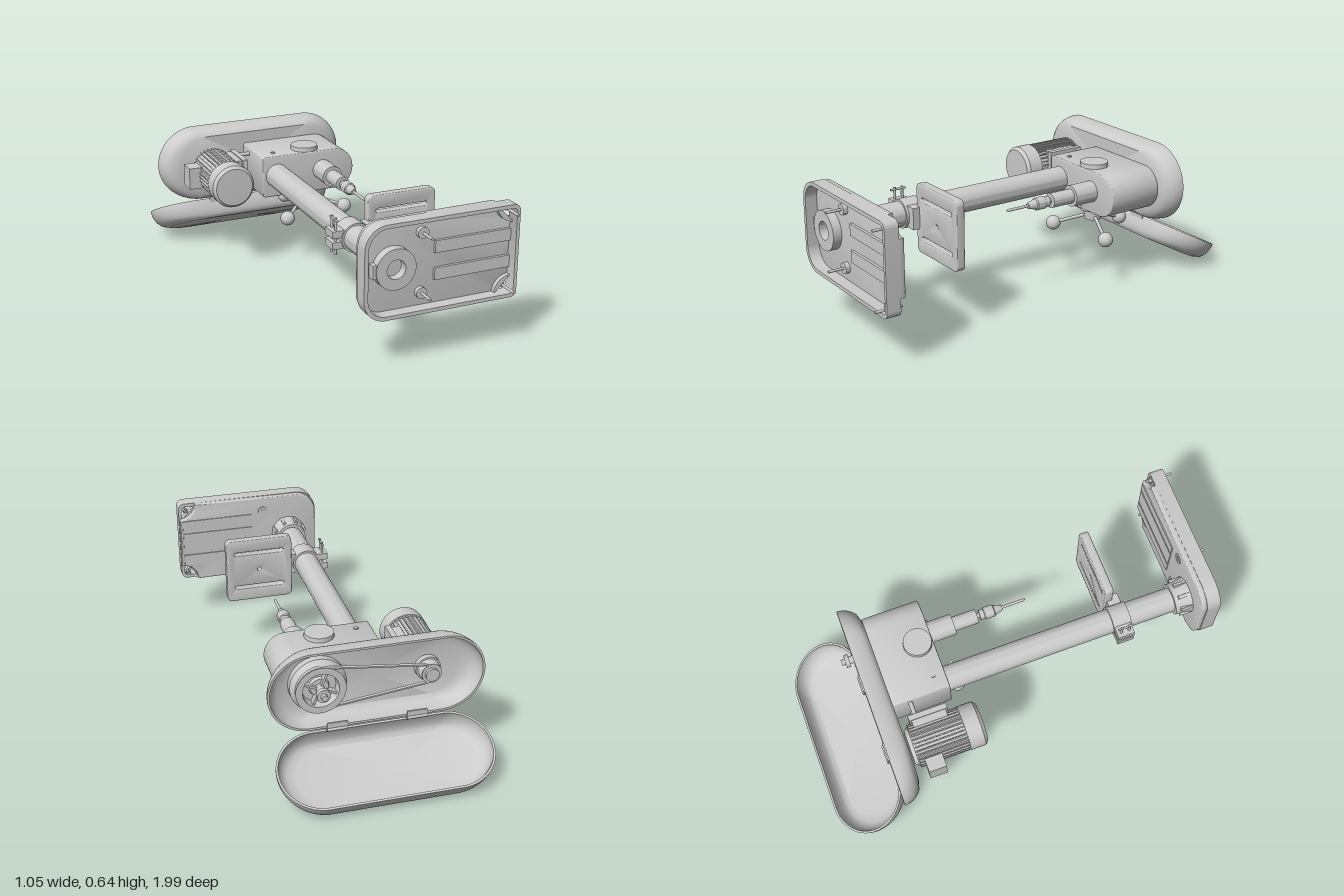
import * as THREE from 'three';
import { toCreasedNormals } from 'three/addons/utils/BufferGeometryUtils.js';

const mat = new THREE.MeshStandardMaterial({ color: 0xcccccc, side: THREE.DoubleSide });
const CY = 0.45; // height of the column and spindle axes

export function createModel() {
  const model = new THREE.Group();
  const add = (name, geo, parent = model) => {
    const m = new THREE.Mesh(geo, mat);
    m.name = name;
    parent.add(m);
    return m;
  };
  const group = (name) => {
    const g = new THREE.Group();
    g.name = name;
    model.add(g);
    return g;
  };
  // Box by its limits
  const box = (name, x0, x1, y0, y1, z0, z1, parent) =>
    add(name, new THREE.BoxGeometry(x1 - x0, y1 - y0, z1 - z0)
      .translate((x0 + x1) / 2, (y0 + y1) / 2, (z0 + z1) / 2), parent);
  // Turned part along z from [radius, z] points, ordered by rising z
  const turned = (name, x, y, pts, parent, seg = 40) =>
    add(name, toCreasedNormals(new THREE.LatheGeometry(pts.map(([r, z]) => new THREE.Vector2(r, z)), seg), 0.6)
      .rotateX(Math.PI / 2).translate(x, y, 0), parent);
  const rod = (name, x, y, r, z0, z1, parent, seg = 24) =>
    turned(name, x, y, [[0, z0], [r, z0], [r, z1], [0, z1]], parent, seg);
  // Turned part standing along y
  const post = (name, x, z, r0, r1, y0, y1, parent, seg = 32) =>
    add(name, new THREE.CylinderGeometry(r1, r0, y1 - y0, seg).translate(x, (y0 + y1) / 2, z), parent);
  const slab = (name, shape, z0, z1, parent, bevel = 0) =>
    add(name, toCreasedNormals(new THREE.ExtrudeGeometry(shape, {
      depth: z1 - z0 - 2 * bevel, curveSegments: 20, bevelEnabled: bevel > 0,
      bevelSize: bevel, bevelThickness: bevel, bevelOffset: -bevel, bevelSegments: 3,
    }), 0.6).translate(0, 0, z0 + bevel), parent);
  // Rectangle with separate left and right corner radii
  const plate = (x0, x1, y0, y1, rl, rr, Kind = THREE.Shape) => {
    const s = new Kind(), h = Math.PI / 2;
    s.absarc(x1 - rr, y0 + rr, rr, -h, 0);
    s.absarc(x1 - rr, y1 - rr, rr, 0, h);
    s.absarc(x0 + rl, y1 - rl, rl, h, 2 * h);
    s.absarc(x0 + rl, y0 + rl, rl, 2 * h, 3 * h);
    s.closePath();
    return s;
  };
  const circleHole = (x, y, r) => new THREE.Path().absarc(x, y, r, 0, Math.PI * 2);

  // Hollow base: rim, floor with cut-away bolt corners, pads and bolts
  const base = group('base');
  const rim = plate(-0.19, 0.52, 0.24, 0.655, 0.1, 0.03);
  rim.holes.push(plate(-0.172, 0.505, 0.257, 0.638, 0.085, 0.018, THREE.Path));
  slab('baseRim', rim, 0.895, 0.96, base);
  const floor = new THREE.Shape();
  floor.absarc(0.518, 0.24, 0.08, Math.PI, Math.PI / 2, true);
  floor.absarc(0.518, 0.655, 0.08, -Math.PI / 2, -Math.PI, true);
  floor.absarc(-0.085, 0.552, 0.1, Math.PI / 2, Math.PI);
  floor.absarc(-0.085, 0.343, 0.1, Math.PI, Math.PI * 1.5);
  floor.closePath();
  slab('baseFloor', floor, 0.87, 0.905, base, 0.006);
  for (const s of [-1, 1]) {
    const y = s > 0 ? 0.645 : 0.25;
    const pad = new THREE.Shape().moveTo(0.51, y);
    const a = s > 0 ? Math.PI : Math.PI / 2;
    pad.absarc(0.51, y, 0.078, a, a + Math.PI / 2);
    slab('cornerPad', pad, 0.895, 0.925, base);
    for (const [x, dy] of [[0.09, 0.132], [0.487, 0.173]]) {
      const by = 0.4475 + s * dy;
      rod('baseBolt', x, by, 0.006, 0.87, 0.997, base, 12);
      rod('boltHead', x, by, 0.013, x > 0.4 ? 0.882 : 0.862, 0.9, base, 6);
      if (x < 0.4) rod('boltBoss', x, by, 0.025, 0.866, 0.925, base);
    }
    // Underside of each slot
    box('slotRib', 0.15, 0.506, 0.4475 + s * 0.06 - 0.027, 0.4475 + s * 0.06 + 0.027, 0.9, 0.918, base);
  }
  // Work surface split by narrow grooves
  for (const [y0, y1] of [[0.325, 0.382], [0.394, 0.501], [0.513, 0.57]])
    box('workSurface', 0.15, 0.505, y0, y1, 0.865, 0.88, base);
  turned('columnSeat', -0.04, CY, [[0.042, 0.9], [0.09, 0.9], [0.09, 0.945], [0.042, 0.945], [0.042, 0.9]], base);
  box('seatKey', -0.143, -0.115, 0.42, 0.48, 0.9, 0.94, base);

  // Column and its flared socket
  turned('column', -0.04, CY, [[0.042, -0.4], [0.058, -0.4], [0.058, 0.94], [0.042, 0.94], [0.042, -0.4]]);
  const socket = group('columnSocket');
  turned('socket', -0.04, CY, [[0.058, 0.79], [0.073, 0.79], [0.075, 0.825], [0.084, 0.872], [0.058, 0.872]], socket);
  for (let i = 0; i < 8; i++) {
    const rib = box('socketRib', 0.06, 0.086, -0.008, 0.008, 0.81, 0.872, socket);
    rib.position.set(-0.04, CY, 0);
    rib.rotation.z = (i + 0.5) * Math.PI / 4;
  }

  // Work table with slots, clamped to the column
  const table = group('table');
  const top = plate(0.035, 0.36, 0.29, 0.61, 0.025, 0.025);
  for (const y of [0.36, 0.54]) top.holes.push(plate(0.075, 0.32, y - 0.009, y + 0.009, 0.008, 0.008, THREE.Path));
  top.holes.push(circleHole(0.198, CY, 0.01));
  slab('tableTop', top, 0.486, 0.527, table, 0.004);
  turned('clampCollar', -0.04, CY, [[0.058, 0.485], [0.067, 0.485], [0.067, 0.572], [0.058, 0.572]], table);
  box('tableArm', 0.01, 0.06, 0.40, 0.50, 0.5, 0.56, table);
  for (const y of [0.425, 0.475]) box('clampEar', -0.148, -0.08, y - 0.016, y + 0.016, 0.487, 0.565, table);
  for (const z of [0.507, 0.545]) post('clampScrew', -0.125, z, 0.006, 0.006, 0.38, 0.545, table, 12);
  rod('clampHandle', -0.125, 0.535, 0.005, 0.49, 0.565, table, 12);

  // Head casting, round at the spindle end
  const head = group('head');
  slab('headBody', plate(-0.113, 0.362, 0.345, 0.547, 0.012, 0.1), -0.585, -0.315, head, 0.005);
  post('topCap', 0.13, -0.385, 0.067, 0.065, 0.54, 0.567, head, 40);
  post('topScrew', -0.04, -0.37, 0.011, 0.011, 0.54, 0.553, head, 6);
  const lock = post('lockLever', 0, 0, 0.006, 0.006, 0, 0.08, head, 12);
  lock.position.set(0.02, 0.375, -0.32);
  lock.rotation.set(Math.PI / 2, 0, -0.5);

  // Quill, chuck and drill bit
  const spindle = group('spindle');
  turned('quill', 0.198, CY, [[0, -0.33], [0.05, -0.33], [0.05, -0.195], [0.034, -0.195], [0.034, -0.08],
    [0.012, -0.08], [0.012, -0.05], [0, -0.05]], spindle);
  turned('chuck', 0.198, CY, [[0, -0.066], [0.024, -0.066], [0.024, -0.045], [0.029, -0.042], [0.029, 0.002],
    [0.024, 0.006], [0.013, 0.045], [0, 0.045]], spindle);
  turned('drillBit', 0.198, CY, [[0, 0.04], [0.0065, 0.04], [0.0065, 0.15], [0, 0.166]], spindle, 12);

  // Feed hub with three ball-ended spokes
  const feed = group('feedHandle');
  post('feedFlange', 0.135, -0.38, 0.06, 0.067, 0.335, 0.36, feed);
  post('feedHub', 0.135, -0.38, 0.04, 0.046, 0.288, 0.34, feed);
  for (let i = 0; i < 3; i++) {
    const a = THREE.MathUtils.degToRad(20 + 120 * i);
    const end = new THREE.Vector3(0.135 + 0.192 * Math.cos(a), 0.246, -0.38 + 0.192 * Math.sin(a));
    const path = new THREE.LineCurve3(new THREE.Vector3(0.135, 0.315, -0.38), end);
    add('spoke', new THREE.TubeGeometry(path, 1, 0.008, 12), feed);
    add('spokeBall', new THREE.SphereGeometry(0.035, 28, 20).translate(end.x, end.y, end.z), feed);
  }

  // Finned motor with junction box and sliding mount
  const motor = group('motor'), MX = -0.29;
  turned('motorBody', MX, CY, [[0, -0.577], [0.075, -0.577], [0.09, -0.56], [0.09, -0.32], [0.103, -0.32],
    [0.103, -0.25], [0.09, -0.235], [0, -0.233]], motor);
  for (let i = 0; i < 32; i++) {
    const fin = box('motorFin', 0.085, 0.101, -0.003, 0.003, -0.555, -0.32, motor);
    fin.position.set(MX, CY, 0);
    fin.rotation.z = i * Math.PI / 16;
  }
  box('junctionBox', -0.44, -0.375, 0.39, 0.495, -0.532, -0.45, motor);
  box('mountPlate', -0.2, -0.175, 0.365, 0.535, -0.54, -0.36, motor);
  for (const y of [0.385, 0.515]) {
    box('mountFoot', -0.235, -0.19, y - 0.015, y + 0.015, -0.53, -0.37, motor);
    add('mountRod', new THREE.CylinderGeometry(0.01, 0.01, 0.11, 16).rotateZ(Math.PI / 2)
      .translate(-0.15, y, -0.505), motor);
  }

  // Oval pan open toward -z, lofted from rings of [depth, inset]
  const pan = () => {
    const N = 72, rings = [], pos = [], idx = [];
    const ring = (z, k, t, s = 1) => {
      for (let i = 0; i <= N; i++) {
        const a = (i / N) * Math.PI * 2 + Math.PI / 2, c = Math.cos(a);
        const flat = (i > 0 && i <= N / 2 ? -1 : 1) * (0.288 - 0.038 * k);
        pos.push(s * (flat + (0.19 - 0.05 * k - t) * c), s * (0.185 - 0.033 * k - t) * Math.sin(a), z);
      }
      rings.push(rings.length);
    };
    const bow = (u) => 1 - Math.sqrt(1 - u * u);
    ring(0.095, 1, 0, 0);
    for (let j = 8; j >= 0; j--) ring(0.095 * j / 8, bow(j / 8), 0);
    for (let j = 0; j <= 8; j++) ring(0.085 * j / 8, bow(j / 8), 0.01);
    ring(0.085, 1, 0.01, 0);
    for (let r = 0; r < rings.length - 1; r++)
      for (let i = 0; i < N; i++) {
        const a = r * (N + 1) + i, b = a + N + 1;
        idx.push(a, b, a + 1, b, b + 1, a + 1);
      }
    const g = new THREE.BufferGeometry();
    g.setAttribute('position', new THREE.Float32BufferAttribute(pos, 3));
    g.setIndex(idx);
    return toCreasedNormals(g, 0.55);
  };
  add('beltHousing', pan()).position.set(-0.048, CY, -0.68);
  const lid = add('beltLid', pan());
  lid.position.set(-0.048, 0.165, -0.827);
  lid.rotation.x = THREE.MathUtils.degToRad(62.4);
  for (const x of [-0.225, 0.13]) {
    const hinge = group('hinge');
    add('hingePin', new THREE.CylinderGeometry(0.008, 0.008, 0.09, 12).rotateZ(Math.PI / 2)
      .translate(x, 0.258, -0.682), hinge);
    box('hingeLeaf', x - 0.045, x + 0.045, 0.258, 0.29, -0.684, -0.676, hinge);
    box('hingeLeaf', x - 0.045, x + 0.045, 0.226, 0.262, -0.662, -0.655, hinge);
  }

  // Stepped pulleys and belt
  const drive = group('beltDrive');
  turned('spindlePulley', 0.198, CY, [[0, -0.645], [0.04, -0.645], [0.045, -0.63], [0.075, -0.63], [0.08, -0.672],
    [0.11, -0.672], [0.1, -0.655], [0.11, -0.64], [0.125, -0.625], [0.125, -0.59], [0, -0.59]], drive);
  turned('spindleNut', 0.198, CY, [[0, -0.735], [0.014, -0.735], [0.014, -0.718], [0.03, -0.718], [0.03, -0.698],
    [0.018, -0.698], [0.018, -0.63]], drive, 16);
  for (let i = 0; i < 4; i++) {
    const web = box('pulleyWeb', 0.015, 0.08, -0.005, 0.005, -0.66, -0.625, drive);
    web.position.set(0.198, CY, 0);
    web.rotation.z = i * Math.PI / 2 + 0.4;
  }
  turned('motorPulley', MX, CY, [[0, -0.678], [0.03, -0.678], [0.03, -0.665], [0.044, -0.665], [0.04, -0.655],
    [0.048, -0.64], [0.048, -0.62], [0.056, -0.62], [0.056, -0.59], [0, -0.585]], drive);
  const loop = (Kind, t) => {
    const a = Math.acos(0.06 / 0.488), s = new Kind();
    s.absarc(0.198, CY, 0.106 - t, -a, a);
    s.absarc(MX, CY, 0.046 - t, a, Math.PI * 2 - a);
    s.closePath();
    return s;
  };
  const belt = loop(THREE.Shape, 0);
  belt.holes.push(loop(THREE.Path, 0.007));
  slab('belt', belt, -0.663, -0.647, drive);

  return model;
}
